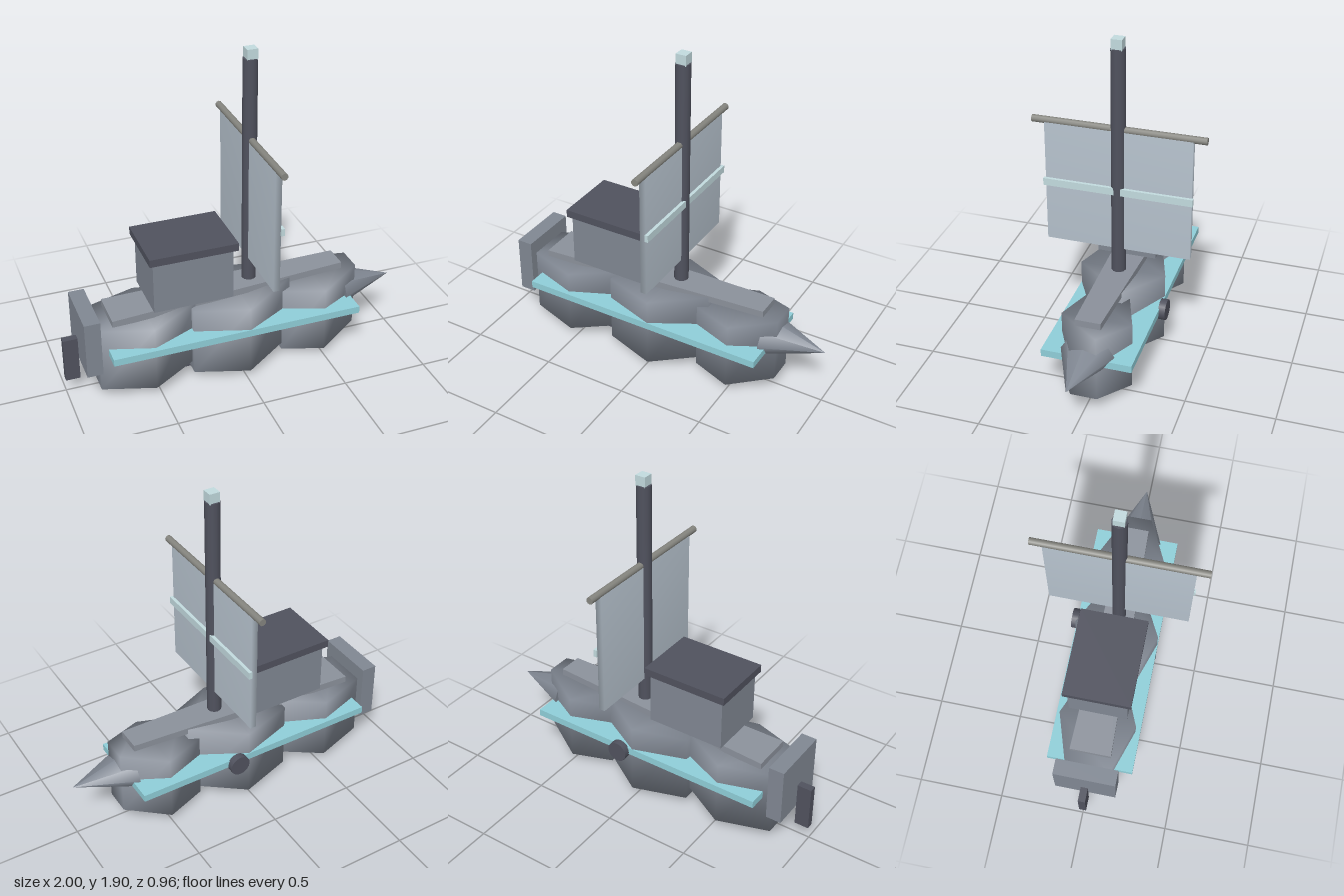
import * as THREE from 'three';
import { mergeVertices } from 'three/addons/utils/BufferGeometryUtils.js';

const HULL = 0x808792, DARK = 0x50525e, CYAN = 0x8fced8, PALE = 0xc2dade, SAIL = 0xb6c2cd, YARD = 0x85857f;

// Loft of rectangular stations [x, yBottom, yTop, halfWidth]; shared corners give soft shading
function loft(stations, sharp) {
  const pos = [], index = [];
  for (const [x, y0, y1, w] of stations) pos.push(x, y0, w, x, y0, -w, x, y1, -w, x, y1, w);
  const n = stations.length;
  for (let i = 0; i < n - 1; i++) {
    for (let k = 0; k < 4; k++) {
      const a = i * 4 + k, b = i * 4 + (k + 1) % 4;
      index.push(a, b, a + 4, b, b + 4, a + 4);
    }
  }
  const e = (n - 1) * 4;
  index.push(0, 2, 1, 0, 3, 2, e, e + 1, e + 2, e, e + 2, e + 3);
  let g = new THREE.BufferGeometry();
  g.setAttribute('position', new THREE.Float32BufferAttribute(pos, 3));
  g.setIndex(index);
  if (sharp) g = g.toNonIndexed();
  g.computeVertexNormals();
  return g;
}

export function createModel() {
  const ship = new THREE.Group();
  ship.name = 'sailingShip';

  const add = (name, geometry, color, x = 0, y = 0, z = 0) => {
    const m = new THREE.Mesh(geometry, new THREE.MeshStandardMaterial({ color }));
    m.name = name;
    m.position.set(x, y, z);
    ship.add(m);
    return m;
  };
  // Box given by its extents in x and y and its centred depth in z
  const box = (name, color, x0, x1, y0, y1, depth) =>
    add(name, new THREE.BoxGeometry(x1 - x0, y1 - y0, depth), color, (x0 + x1) / 2, (y0 + y1) / 2);

  // Hull: three bulging sections, each with a raised front end
  const sections = {
    sternHull: [[-0.825, 0.05, 0.44, 0.13], [-0.53, 0.05, 0.44, 0.225], [-0.25, 0.1, 0.485, 0.1]],
    midHull: [[-0.285, 0.04, 0.455, 0.15], [0.02, 0.04, 0.46, 0.25], [0.32, 0.09, 0.505, 0.085]],
    bowHull: [[0.265, 0.04, 0.44, 0.115], [0.5, 0.04, 0.44, 0.2], [0.74, 0.1, 0.49, 0.075]],
  };
  for (const [name, stations] of Object.entries(sections)) add(name, loft(stations), HULL);

  // Pointed bow, flattened in height
  const bow = new THREE.ConeGeometry(0.15, 0.34, 8);
  bow.rotateZ(-Math.PI / 2);
  bow.scale(1, 0.67, 1);
  add('bowCone', bow, HULL, 0.83, 0.335, 0);

  // Tapered, rising deck and keel planks
  add('deck', loft([[-0.74, 0.435, 0.478, 0.12], [0.65, 0.488, 0.527, 0.072]], true), 0x8b919b);
  add('keel', loft([[-0.765, 0, 0.05, 0.062], [0.685, 0.052, 0.09, 0.036]], true), DARK);

  // Side band, stern and rudder
  box('sideBand', CYAN, -0.775, 0.692, 0.28, 0.322, 0.505);
  box('sternBoard', HULL, -0.91, -0.82, 0.19, 0.528, 0.36);
  box('rudder', DARK, -1, -0.917, 0.08, 0.345, 0.042);

  // Cabin with overhanging roof
  box('cabin', HULL, -0.515, -0.055, 0.515, 0.82, 0.34);
  box('cabinRoof', DARK, -0.537, -0.032, 0.82, 0.865, 0.385);

  // Round disc on one side of the hull
  const disc = new THREE.CylinderGeometry(0.06, 0.06, 0.04, 16);
  disc.rotateX(Math.PI / 2);
  add('sideDisc', disc, DARK, 0.1, 0.29, -0.267);

  // Mast, tip and yard
  add('mast', new THREE.CylinderGeometry(0.041, 0.041, 1.33, 12), DARK, 0.1, 1.18, 0);
  box('mastTip', PALE, 0.072, 0.132, 1.84, 1.9, 0.06);
  const yard = new THREE.CylinderGeometry(0.02, 0.02, 0.965, 10);
  yard.rotateX(Math.PI / 2);
  add('yard', yard, YARD, 0.1, 1.385, 0);

  // Sail: thin slab with softened shading, and its cross stripe
  let sail = new THREE.BoxGeometry(0.036, 0.73, 0.82);
  sail.deleteAttribute('normal');
  sail.deleteAttribute('uv');
  sail = mergeVertices(sail);
  sail.computeVertexNormals();
  add('sail', sail, SAIL, 0.1, 1.025, 0);
  box('sailStripe', PALE, 0.116, 0.136, 1.003, 1.045, 0.84);

  return ship;
}
